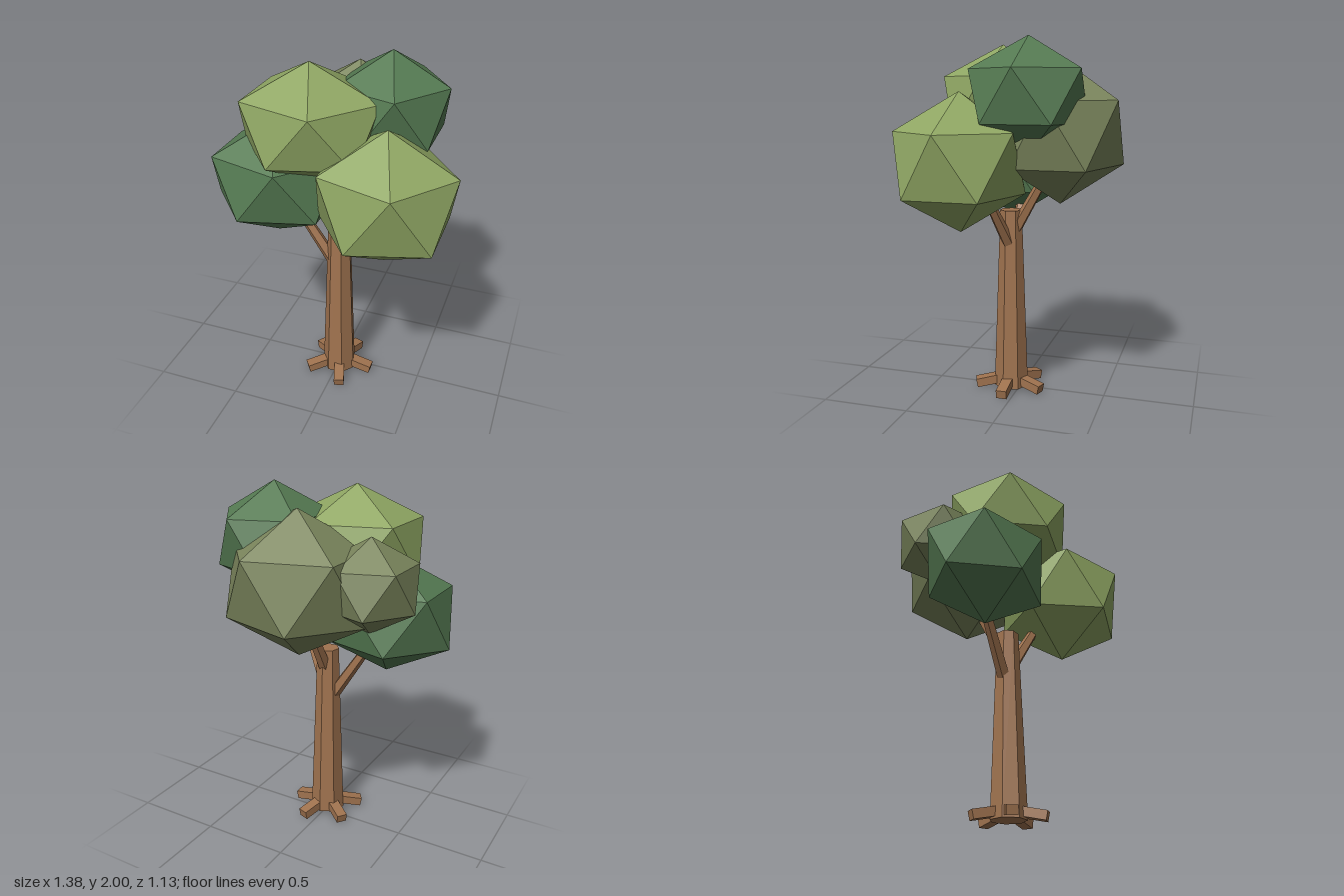
import * as THREE from 'three';

const material = (color) => new THREE.MeshStandardMaterial({ color, flatShading: true });
const bark = material(0xa0734f);
const lightLeaf = material(0x8fa663);
const darkLeaf = material(0x557a52);
const oliveLeaf = material(0x7a855c);

const TRUNK_X = 0.007, TRUNK_Z = 0.05;

export function createModel() {
  const tree = new THREE.Group();
  tree.name = 'tree';

  const add = (name, geometry, mat) => {
    const mesh = new THREE.Mesh(geometry, mat);
    mesh.name = name;
    tree.add(mesh);
    return mesh;
  };

  // Tapered seven-sided trunk
  const trunk = add('trunk', new THREE.CylinderGeometry(0.063, 0.1, 1.045, 7), bark);
  trunk.position.set(TRUNK_X, 0.5375, TRUNK_Z);
  trunk.rotation.y = Math.PI;

  // Five roots sloping down and outwards
  for (let i = 0; i < 5; i++) {
    const geometry = new THREE.BoxGeometry(0.14, 0.05, 0.06);
    geometry.rotateZ(-0.2).translate(0.135, 0.042, 0).rotateY(-i * Math.PI * 0.4);
    add('root', geometry, bark).position.set(TRUNK_X, 0, TRUNK_Z);
  }

  // Branches reaching from the trunk into the foliage
  const up = new THREE.Vector3(0, 1, 0);
  const branch = (name, from, to) => {
    const a = new THREE.Vector3(...from), b = new THREE.Vector3(...to);
    const mesh = add(name, new THREE.CylinderGeometry(0.028, 0.038, a.distanceTo(b), 5), bark);
    mesh.position.copy(a).lerp(b, 0.5);
    mesh.quaternion.setFromUnitVectors(up, b.sub(a).normalize());
  };
  branch('rightBranch', [-0.01, 0.75, 0.05], [-0.23, 1.09, 0.06]);
  branch('leftBranch', [0.03, 0.85, 0.05], [0.18, 1.12, 0.12]);
  branch('backBranch', [0.01, 0.92, 0.04], [0.015, 1.22, -0.13]);

  // Leaf clusters: stretched icosahedra standing on one corner
  const clusters = [
    ['frontLeftLeaves', lightLeaf, [0.32, 1.35, 0.235], [0.408, 0.37, 0.385]],
    ['frontRightLeaves', darkLeaf, [-0.33, 1.305, 0.115], [0.403, 0.335, 0.341]],
    ['topFrontLeaves', lightLeaf, [-0.12, 1.657, 0.135], [0.414, 0.32, 0.37]],
    ['topLeftLeaves', darkLeaf, [0.235, 1.696, -0.115], [0.341, 0.304, 0.347]],
    ['backLeaves', oliveLeaf, [0.022, 1.5, -0.238], [0.443, 0.391, 0.385]],
    ['backRightLeaves', oliveLeaf, [-0.355, 1.523, -0.16], [0.276, 0.25, 0.276]],
  ];
  const tilt = -Math.atan(2 / (1 + Math.sqrt(5)));
  for (const [name, mat, centre, radii] of clusters) {
    const geometry = new THREE.IcosahedronGeometry(1, 0).rotateZ(tilt).scale(...radii);
    add(name, geometry, mat).position.set(...centre);
  }

  return tree;
}
